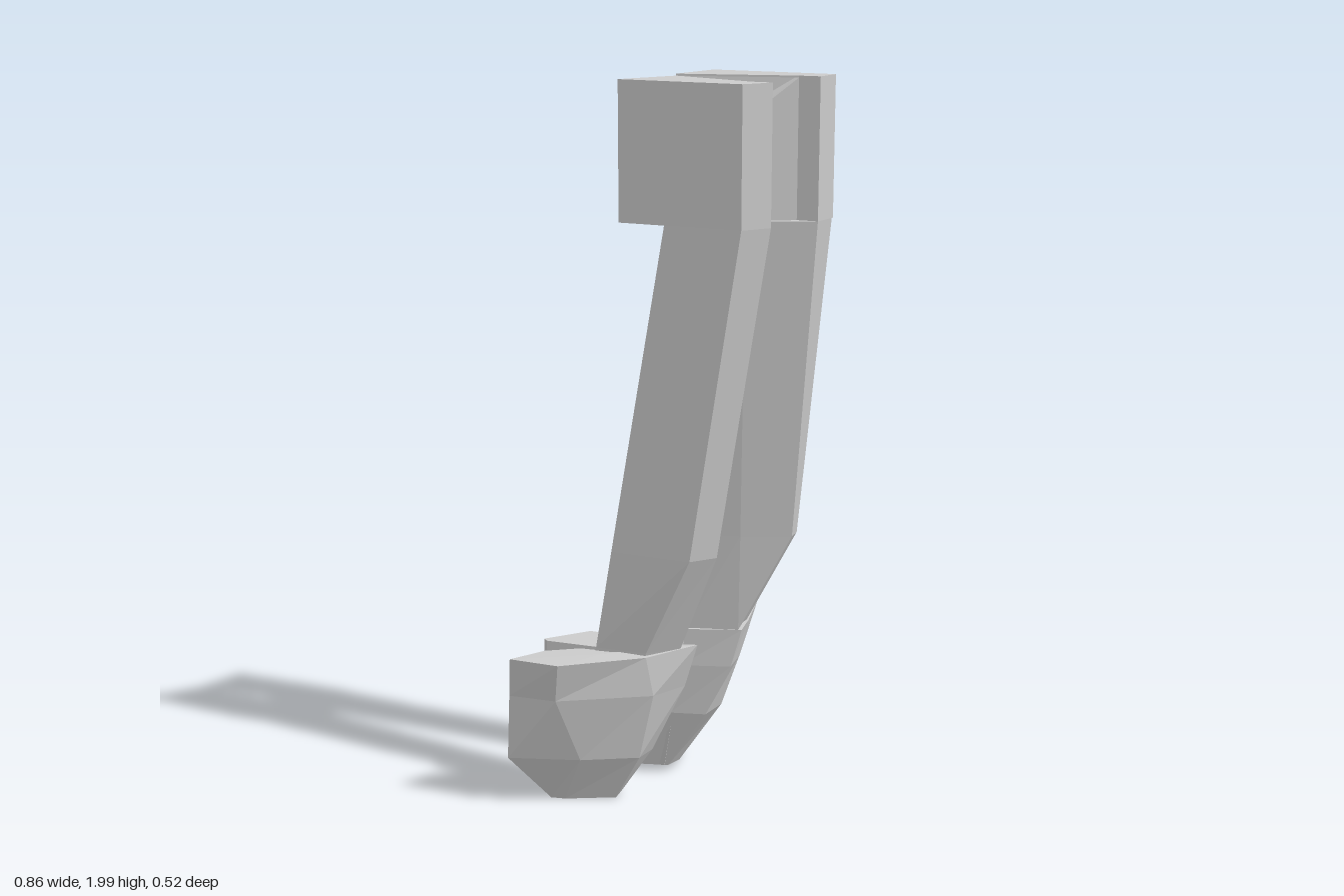
import * as THREE from 'three';

const material = new THREE.MeshStandardMaterial({ color: 0xcccccc, flatShading: true });

// Skins a stack of [y, [x, z, lift], ...] sections (bottom to top) and caps both ends.
// Corners run left, front, right, back as seen from above.
function loft(name, sections) {
  const loops = sections.map(([y, ...pts]) =>
    pts.map(([x, z, lift = 0]) => new THREE.Vector3(x, y + lift, z)));
  const n = loops[0].length;
  const out = [];
  const tri = (...vs) => vs.forEach((v) => out.push(v.x, v.y, v.z));
  const centre = (loop) =>
    loop.reduce((s, v) => s.add(v), new THREE.Vector3()).divideScalar(n);

  const low = loops[0];
  const high = loops[loops.length - 1];
  const cLow = centre(low);
  const cHigh = centre(high);
  for (let i = 0; i < n; i++) {
    const j = (i + 1) % n;
    for (let k = 0; k < loops.length - 1; k++) {
      const a = loops[k];
      const b = loops[k + 1];
      tri(a[i], a[j], b[j]);
      tri(a[i], b[j], b[i]);
    }
    tri(cHigh, high[i], high[j]);
    tri(cLow, low[j], low[i]);
  }
  const geometry = new THREE.BufferGeometry();
  geometry.setAttribute('position', new THREE.Float32BufferAttribute(out, 3));
  geometry.computeVertexNormals();
  const mesh = new THREE.Mesh(geometry, material);
  mesh.name = name;
  return mesh;
}

function arm(name, ...parts) {
  const group = new THREE.Group();
  group.name = name;
  group.add(...parts);
  return group;
}

// Head sections share their outer corners; only the inner ones change with height
const frontHead = (y, ...inner) => [y, [-0.12, 0.145], [0.2, 0.242], [0.273, 0.195], ...inner];
const rearHead = (y, ...inner) => [y, ...inner, [0.335, 0.07], [0.39, 0.085], [0.428, 0.025], [0.11, -0.068]];

export function createModel() {
  const model = new THREE.Group();
  model.name = 'pairedArms';

  // Front arm: head block, bent tapering shaft, and a two-piece foot
  model.add(arm('frontArm',
    loft('frontHead', [
      frontHead(1.62, [0.215, 0.175], [0.2, 0.1], [0.02, 0.047]),
      frontHead(1.88, [0.215, 0.175], [0.2, 0.1], [0.02, 0.047]),
      frontHead(1.985, [0.22, 0.178], [0.215, 0.175], [0.02, 0.047]),
    ]),
    loft('frontShaft', [
      [0.4, [-0.2, 0.135], [-0.07, 0.165], [0.02, 0.12], [-0.06, 0.065]],
      [0.45, [-0.19, 0.14], [-0.05, 0.172], [0.04, 0.13], [-0.05, 0.07]],
      [0.73, [-0.145, 0.15], [0.07, 0.22], [0.14, 0.18], [0, 0.08]],
      [1.62, [0, 0.18], [0.2, 0.242], [0.273, 0.195], [0.17, 0.1]],
    ]),
    loft('frontFootPad', [
      [0, [-0.32, 0.14], [-0.28, 0.145], [-0.14, 0.125], [-0.13, 0.085], [-0.2, 0.06], [-0.32, 0.11]],
      [0.14, [-0.43, 0.195], [-0.23, 0.195], [-0.07, 0.165], [-0.04, 0.105], [-0.12, 0.06], [-0.34, 0.14]],
      [0.33, [-0.42, 0.21], [-0.29, 0.24], [-0.03, 0.18], [0.05, 0.1], [-0.07, 0.065], [-0.34, 0.145]],
      [0.44, [-0.415, 0.22], [-0.28, 0.26], [-0.05, 0.18], [0.085, 0.11, 0.015], [-0.04, 0.07], [-0.33, 0.15]],
    ]),
    loft('frontFootBlock', [
      [0.01, [-0.3, 0.1], [-0.19, 0.13], [-0.14, 0.08], [-0.2, 0.025], [-0.3, 0.08]],
      [0.13, [-0.33, 0.1], [-0.19, 0.135], [-0.1, 0.065], [-0.21, 0.017], [-0.335, 0.085]],
      [0.45, [-0.33, 0.1], [-0.19, 0.135], [-0.04, 0.07], [-0.22, 0.015], [-0.34, 0.085]],
    ]),
  ));

  // Rear arm: same layout, set back; its head end is recessed between a floor and a rim
  model.add(arm('rearArm',
    loft('rearHead', [
      rearHead(1.62, [0.02, 0.047], [0.2, 0.1]),
      rearHead(1.63, [0.02, 0.047], [0.2, 0.1]),
      rearHead(1.635, [0.15, 0.07], [0.2, 0.1]),
      rearHead(1.88, [0.15, 0.07], [0.2, 0.1]),
      rearHead(1.985, [0.02, 0.047], [0.325, 0.069]),
      rearHead(1.99, [0.02, 0.047], [0.325, 0.069]),
    ]),
    loft('rearShaft', [
      [0.4, [0.04, -0.015], [0.16, -0.015], [0.18, -0.065], [0.19, -0.09], [0.07, -0.125]],
      [0.46, [0.045, -0.005], [0.19, 0], [0.2, -0.06], [0.21, -0.085], [0.08, -0.12]],
      [0.74, [0.08, 0.015], [0.195, 0.025], [0.335, 0.01], [0.347, -0.03], [0.12, -0.1]],
      [1.62, [0.185, 0.085], [0.205, 0.1], [0.39, 0.085], [0.425, 0.025], [0.22, -0.035]],
    ]),
    loft('rearFootPad', [
      [0.02, [0.015, -0.188], [-0.04, -0.13], [-0.09, -0.06], [-0.01, -0.057], [0.02, -0.1], [0.035, -0.185]],
      [0.2, [0.065, -0.26], [0.012, -0.14], [0, -0.015], [0.1, -0.01], [0.14, -0.09], [0.14, -0.22]],
      [0.35, [0.085, -0.26], [0.05, -0.13], [0.03, 0], [0.17, 0], [0.19, -0.085], [0.2, -0.22]],
      [0.46, [0.1, -0.26, 0.01], [0.08, -0.12], [0.045, 0.005], [0.2, 0], [0.215, -0.08], [0.235, -0.22, 0.01]],
    ]),
    loft('rearFootBlock', [
      [0.02, [-0.12, -0.09], [-0.1, -0.07], [-0.02, -0.055], [0, -0.12], [-0.05, -0.15], [-0.08, -0.15]],
      [0.15, [-0.12, -0.075], [-0.1, -0.06], [0, -0.025], [0.03, -0.12], [-0.05, -0.155], [-0.08, -0.16]],
      [0.45, [-0.12, -0.07], [-0.1, -0.06], [0.04, 0.005], [0.08, -0.115], [-0.05, -0.155], [-0.08, -0.16]],
    ]),
  ));

  return model;
}
